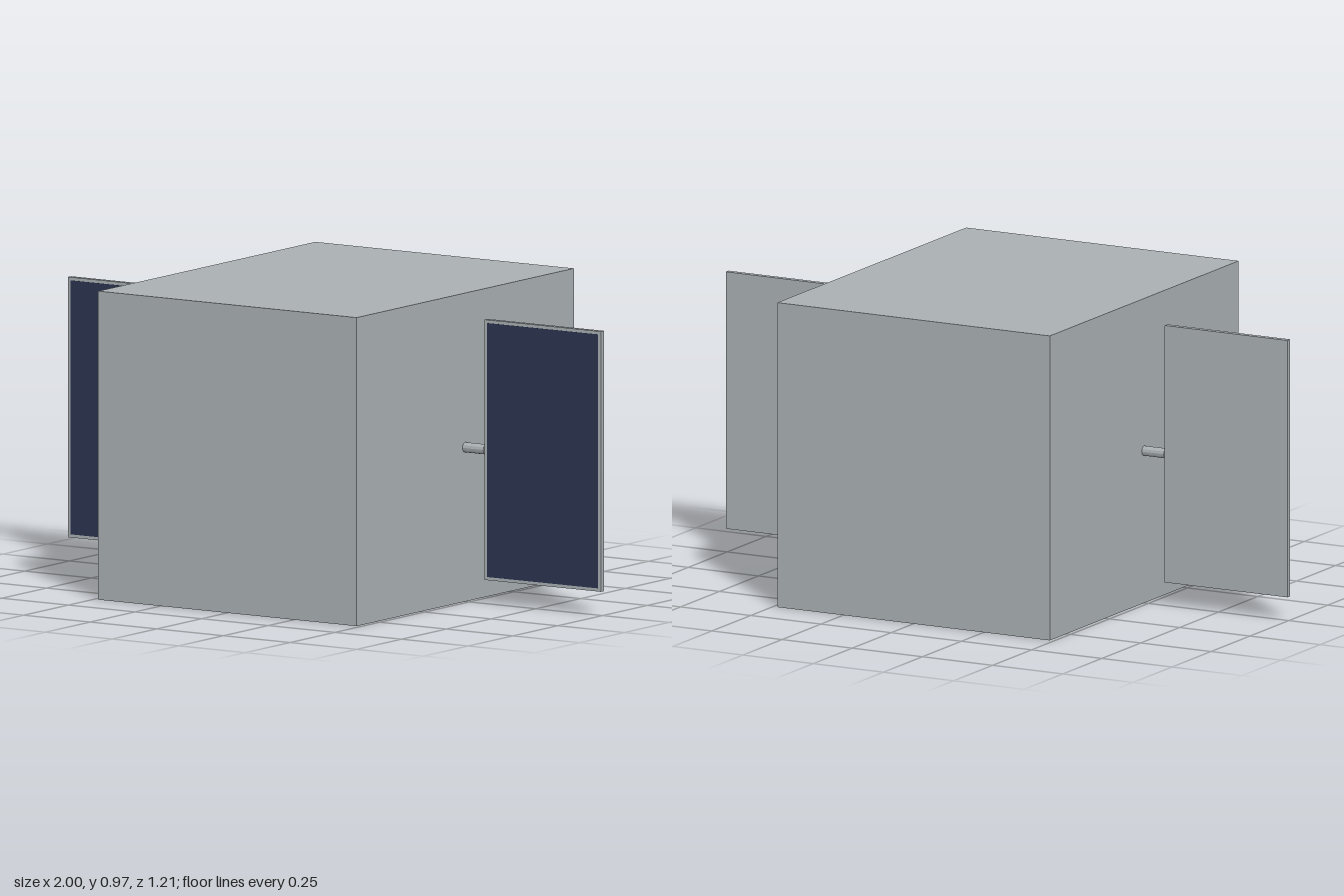
import * as THREE from 'three';

export function createModel() {
  const model = new THREE.Group();
  model.name = 'satellite';

  const grey = new THREE.MeshStandardMaterial({ color: 0xa9afb2, flatShading: true });
  grey.name = 'hull grey';
  const navy = new THREE.MeshStandardMaterial({ color: 0x2c3550 });
  navy.name = 'solar navy';

  const add = (parent, name, geometry, material, x, y, z) => {
    const mesh = new THREE.Mesh(geometry, material);
    mesh.name = name;
    mesh.position.set(x, y, z);
    parent.add(mesh);
    return mesh;
  };

  const midY = 0.486;

  // Main box body
  add(model, 'body', new THREE.BoxGeometry(0.97, 0.972, 1.212), grey, 0, midY, 0);

  // A mast and a framed solar panel on each side
  for (const [side, s] of [['left', 1], ['right', -1]]) {
    const wing = new THREE.Group();
    wing.name = side + 'Wing';
    model.add(wing);

    const mast = add(wing, side + 'Mast', new THREE.CylinderGeometry(0.016, 0.016, 0.08, 12), grey, s * 0.523, midY, 0);
    mast.rotation.z = Math.PI / 2;

    add(wing, side + 'PanelFrame', new THREE.BoxGeometry(0.437, 0.82, 0.018), grey, s * 0.7815, midY, 0);

    // Dark cells cover the front face only
    add(wing, side + 'SolarCells', new THREE.BoxGeometry(0.417, 0.8, 0.002), navy, s * 0.7815, midY, 0.009);
  }

  return model;
}
